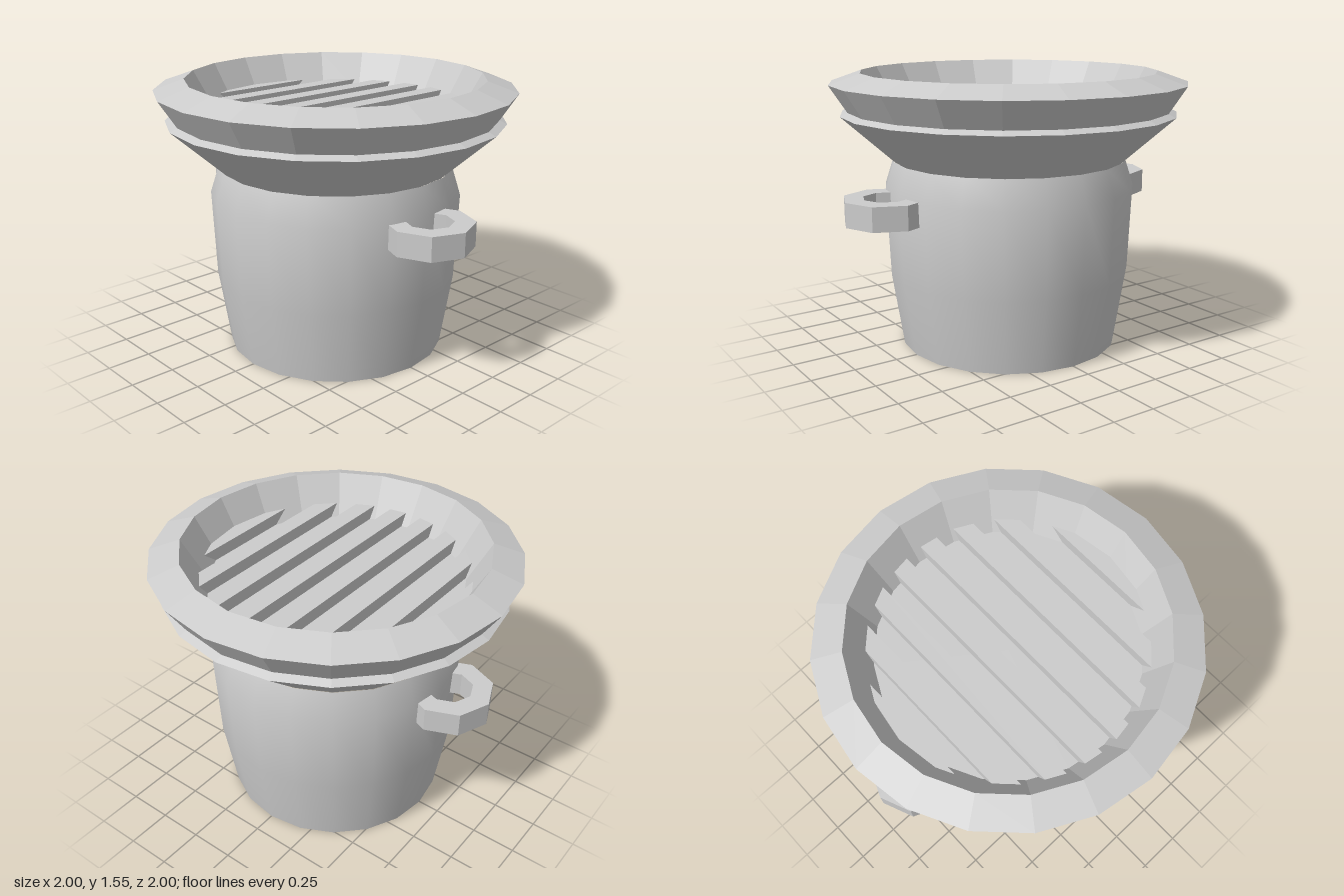
import * as THREE from 'three';
import { toCreasedNormals } from 'three/addons/utils/BufferGeometryUtils.js';

const SIDES = 20;
const smooth = new THREE.MeshStandardMaterial({ color: 0xcccccc });
const faceted = new THREE.MeshStandardMaterial({ color: 0xcccccc, flatShading: true });

function lathe(points) {
  return new THREE.LatheGeometry(points.map(([r, y]) => new THREE.Vector2(r, y)), SIDES);
}

function octagon(shape, radius) {
  for (let i = 0; i < 8; i++) {
    const a = (i * Math.PI) / 4;
    shape[i ? 'lineTo' : 'moveTo'](radius * Math.cos(a), radius * Math.sin(a));
  }
  shape.closePath();
  return shape;
}

export function createModel() {
  const model = new THREE.Group();
  model.name = 'grill';

  function add(name, geometry, material, x = 0, y = 0, z = 0) {
    const mesh = new THREE.Mesh(geometry, material);
    mesh.name = name;
    mesh.position.set(x, y, z);
    model.add(mesh);
    return mesh;
  }

  // Rounded pot with a flat base
  const pot = lathe([[0, 0], [0.625, 0], [0.69, 0.42], [0.71, 0.91], [0.66, 1.065]]);
  add('pot', toCreasedNormals(pot, 0.7), smooth);

  // Flared bowl, closed by the floor under the grate
  add('flaredBowl', lathe([
    [0.65, 1.06], [0.945, 1.325], [0.88, 1.357], [0.72, 1.33], [0, 1.33],
  ]), faceted);

  // Upper rim ring with sloping sides
  add('rim', lathe([
    [0.70, 1.325], [0.89, 1.325], [1, 1.495], [0.83, 1.555], [0.70, 1.325],
  ]), faceted);

  // Parallel grate bars, their ends buried in the rim
  for (let i = 0; i < 8; i++) {
    const x = -0.71 + i * 0.201;
    const length = 2 * Math.sqrt(0.8 * 0.8 - x * x);
    add('grateBar', new THREE.BoxGeometry(0.1, 0.08, length), faceted, x, 1.36, 0);
  }

  // Octagonal ring handles sunk into the pot
  const outline = octagon(new THREE.Shape(), 0.24);
  outline.holes.push(octagon(new THREE.Path(), 0.13));
  const handle = new THREE.ExtrudeGeometry(outline, { depth: 0.135, bevelEnabled: false });
  handle.rotateX(-Math.PI / 2);
  add('leftHandle', handle, faceted, 0.76, 0.778, 0.04);
  add('rightHandle', handle, faceted, -0.735, 0.778, 0.03);

  return model;
}
